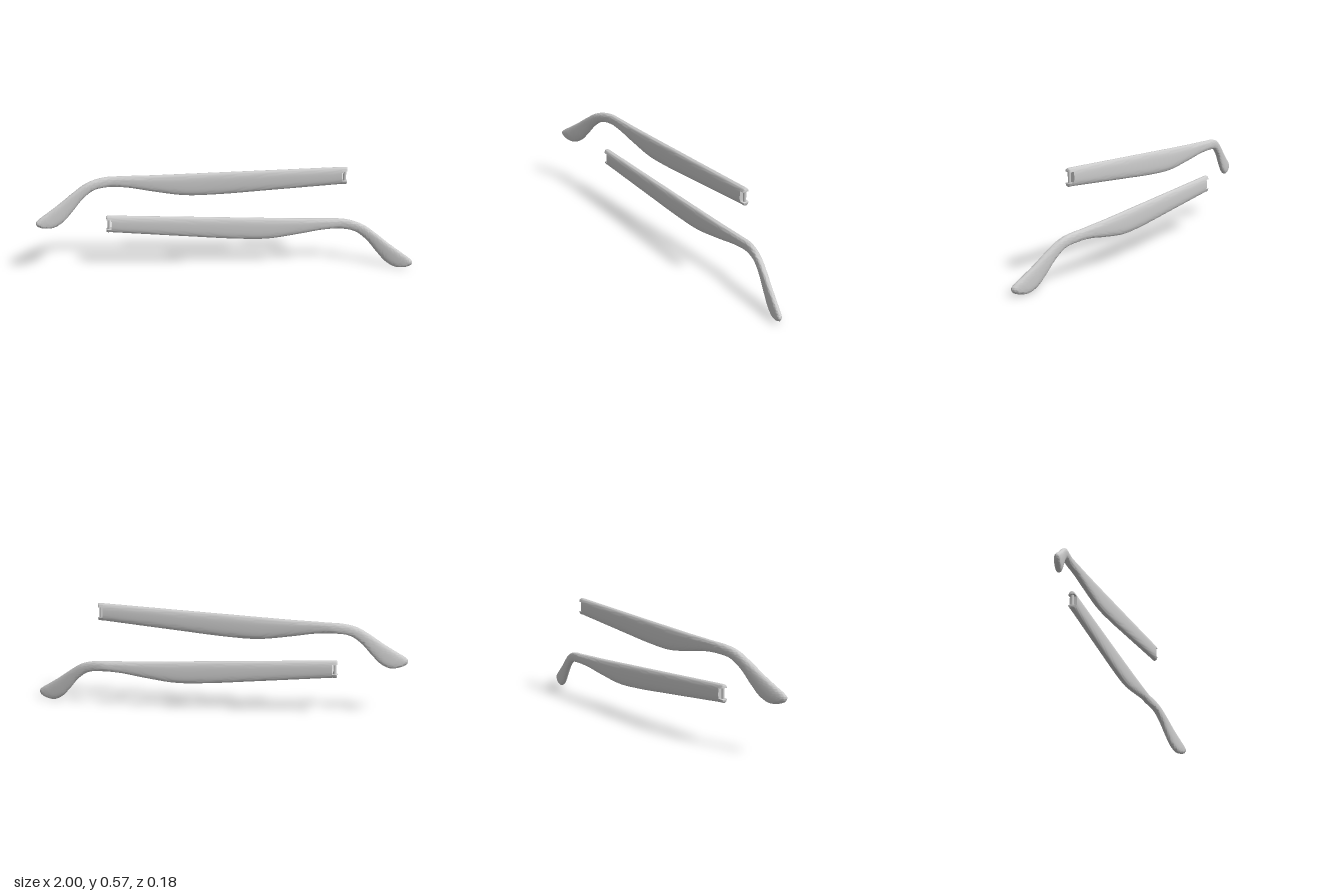
import * as THREE from 'three';
import { toCreasedNormals } from 'three/addons/utils/BufferGeometryUtils.js';

const material = new THREE.MeshStandardMaterial({ color: 0xcccccc });

// Upper edge, lower edge and half thickness, from hinge end to ear tip: [topX, topY, lowX, lowY, half]
const stations = [
  [0.612, 0.567, 0.612, 0.474, 0.02],
  [0.2, 0.55, 0.2, 0.439, 0.02],
  [-0.05, 0.54, -0.05, 0.419, 0.02],
  [-0.22, 0.533, -0.22, 0.415, 0.02],
  [-0.4, 0.526, -0.39, 0.438, 0.019],
  [-0.55, 0.522, -0.52, 0.46, 0.018],
  [-0.66, 0.516, -0.62, 0.465, 0.018],
  [-0.735, 0.494, -0.695, 0.453, 0.018],
  [-0.8, 0.452, -0.755, 0.41, 0.018],
  [-0.875, 0.396, -0.81, 0.345, 0.018],
  [-0.94, 0.352, -0.86, 0.292, 0.018],
  [-0.98, 0.325, -0.91, 0.267, 0.017],
  [-0.997, 0.307, -0.96, 0.271, 0.013],
  [-0.994, 0.288, -0.988, 0.282, 0.001],
];
const HINGE_Y = 0.5205, HINGE_Z = -0.03, HALF_HEIGHT = 0.0465, HALF_WIDTH = 0.02;

// Inward curve of the ear piece
function bendZ(x) {
  const d = Math.max(0, -0.59 - x);
  return HINGE_Z + 0.34 * d * d / (d + 0.1);
}

// Rounded section: [across, along], each in -1..1
function section(a) {
  const f = (v) => Math.sign(v) * Math.pow(Math.abs(v), 2 / 2.6);
  return [f(Math.cos(a)), f(Math.sin(a))];
}

// Closed skin over rings that run from +x to -x; s = -1 mirrors it in x
function loft(rings, s) {
  const n = rings[0].length, pos = [], index = [];
  const tri = (a, b, c) => (s > 0 ? index.push(a, b, c) : index.push(a, c, b));
  rings.flat().forEach((p) => pos.push(s * p.x, p.y, p.z));
  for (let i = 0; i < rings.length - 1; i++) {
    for (let j = 0; j < n; j++) {
      const a = i * n + j, b = i * n + (j + 1) % n;
      tri(a, b, a + n);
      tri(b, b + n, a + n);
    }
  }
  const last = (rings.length - 1) * n;
  for (let j = 1; j < n - 1; j++) {
    tri(0, j + 1, j);
    tri(last, last + j, last + j + 1);
  }
  const g = new THREE.BufferGeometry();
  g.setAttribute('position', new THREE.Float32BufferAttribute(pos, 3));
  g.setIndex(index);
  return toCreasedNormals(g, 0.9);
}

// Temple body between its two edge curves
function bodyRings() {
  const steps = 110, sides = 32, rings = [];
  const top = new THREE.CatmullRomCurve3(stations.map((p) => new THREE.Vector3(p[0], p[1], p[4])));
  const low = new THREE.CatmullRomCurve3(stations.map((p) => new THREE.Vector3(p[2], p[3], p[4])));
  for (let i = 0; i <= steps; i++) {
    const A = top.getPoint(i / steps), B = low.getPoint(i / steps);
    rings.push(Array.from({ length: sides }, (_, j) => {
      const [u, v] = section((j / sides) * Math.PI * 2);
      const p = B.clone().lerp(A, (v + 1) / 2);
      return new THREE.Vector3(p.x, p.y, bendZ(p.x) + u * p.z);
    }));
  }
  return rings;
}

// Lug that extends the top (dir = 1) or bottom (dir = -1) of the hinge end, with a rounded end
function lugRings(dir) {
  const count = 20, edge = 0.515, middle = dir * 0.8;
  const profile = [[0.638, 0.75], [0.637, 0.86], [0.634, 0.96], [0.63, 1], [0.609, 1]];
  return profile.map(([x, k]) => Array.from({ length: count + 1 }, (_, j) => {
    const a = edge + (j / count) * (Math.PI - 2 * edge) + (dir < 0 ? Math.PI : 0);
    const [u, v] = section(a);
    const along = middle + (v - middle) * k;
    return new THREE.Vector3(x, HINGE_Y + along * HALF_HEIGHT, HINGE_Z + u * k * HALF_WIDTH);
  }));
}

function createArm(name, s) {
  const arm = new THREE.Group();
  arm.name = name;
  const add = (part, geometry) => {
    const m = new THREE.Mesh(geometry, material);
    m.name = part;
    arm.add(m);
  };
  add('templeBody', loft(bodyRings(), s));
  add('upperHingeLug', loft(lugRings(1), s));
  add('lowerHingeLug', loft(lugRings(-1), s));
  add('hingePin', new THREE.CylinderGeometry(0.008, 0.008, 0.066, 20).translate(s * 0.625, HINGE_Y, HINGE_Z));
  return arm;
}

export function createModel() {
  const model = new THREE.Group();
  model.name = 'glassesTemples';
  const upper = createArm('upperTemple', 1);
  // Mirrored arm, lower and turned slightly
  const lower = createArm('lowerTemple', -1);
  lower.position.set(0, -0.261, -0.006);
  lower.rotation.set(0, 0.055, -0.005);
  model.add(upper, lower);
  return model;
}
